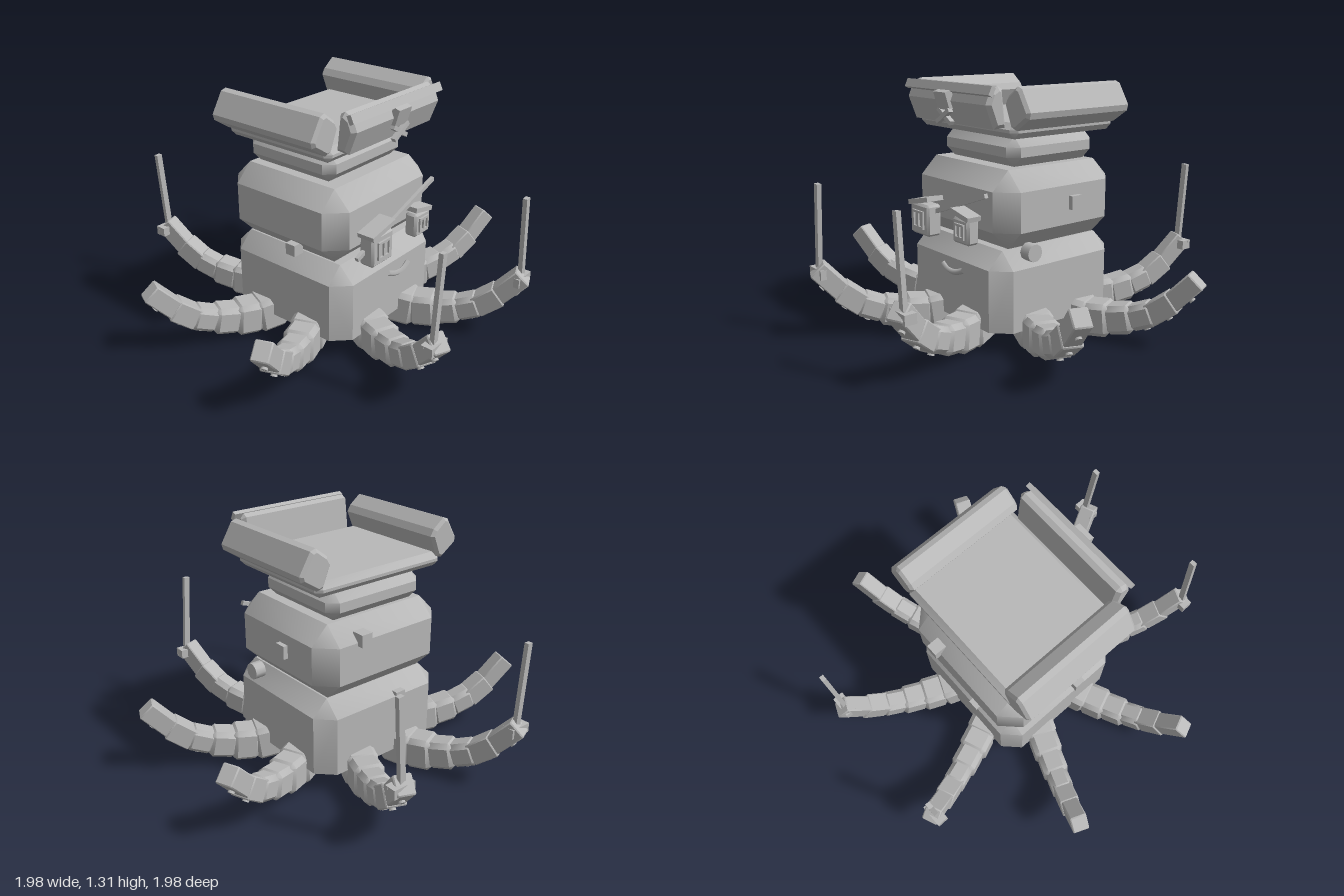
import * as THREE from 'three';
import { toCreasedNormals } from 'three/addons/utils/BufferGeometryUtils.js';
import { ConvexGeometry } from 'three/addons/geometries/ConvexGeometry.js';

const stone = new THREE.MeshStandardMaterial({ color: 0xb8b8b8 });
stone.name = 'pale grey';

// Box with chamfered edges; flat panels stay crisp, corners blend softly
function chamferBox(w, h, d, c, squareBottom = false) {
  const pts = [];
  const x = w / 2, y = h / 2, z = d / 2;
  for (const sx of [-1, 1]) for (const sy of [-1, 1]) for (const sz of [-1, 1]) {
    const cy = squareBottom && sy < 0 ? 0 : c;
    pts.push(new THREE.Vector3(sx * x, sy * (y - cy), sz * (z - c)));
    pts.push(new THREE.Vector3(sx * (x - c), sy * (y - cy), sz * z));
    if (cy) pts.push(new THREE.Vector3(sx * (x - c), sy * y, sz * (z - c)));
  }
  return toCreasedNormals(new ConvexGeometry(pts), 0.7);
}

// Bevelled prism along z from an outline of [x, y] points
function prism(outline, length, bevel) {
  const shape = new THREE.Shape(outline.map(([x, y]) => new THREE.Vector2(x, y)));
  const geo = new THREE.ExtrudeGeometry(shape, {
    depth: length - 2 * bevel, bevelEnabled: true, bevelThickness: bevel,
    bevelSize: bevel, bevelOffset: -bevel, bevelSegments: 1,
  });
  return geo.translate(0, 0, bevel - length / 2);
}

function add(parent, name, geo, x = 0, y = 0, z = 0, rx = 0, ry = 0, rz = 0) {
  const mesh = new THREE.Mesh(geo, stone);
  mesh.name = name;
  mesh.position.set(x, y, z);
  mesh.rotation.set(rx, ry, rz);
  parent.add(mesh);
  return mesh;
}

const box = (w, h, d) => new THREE.BoxGeometry(w, h, d);

// Curled leg running outward along local +z
function makeLeg() {
  const leg = new THREE.Group();
  const joints = [[0.33, 0.12], [0.46, 0.105], [0.58, 0.115], [0.7, 0.14], [0.81, 0.185], [0.9, 0.255], [1.02, 0.385]];
  const heights = [0.19, 0.175, 0.15, 0.13, 0.115, 0.1];
  const widths = [0.17, 0.16, 0.14, 0.12, 0.105, 0.09];
  for (let i = 0; i < 6; i++) {
    const [r0, y0] = joints[i], [r1, y1] = joints[i + 1];
    const length = Math.hypot(r1 - r0, y1 - y0) + (i < 5 ? 0.03 : 0.01);
    const tilt = -Math.atan2(y1 - y0, r1 - r0);
    const geo = chamferBox(widths[i], heights[i], length, i < 4 ? 0.025 : 0.006);
    const segment = add(leg, 'legSegment', geo, 0, (y0 + y1) / 2, (r0 + r1) / 2, tilt);
    if (i > 2) add(segment, 'sucker', new THREE.CylinderGeometry(0.015, 0.018, 0.016, 8), 0, -heights[i] / 2 - 0.004, 0);
  }
  return leg;
}

// Small hanging cabin with a sloped roof and framed window
function makeLantern(w, h, d, tilt) {
  const lantern = new THREE.Group();
  add(lantern, 'lanternBody', chamferBox(w, h, d, 0.012));
  add(lantern, 'lanternRoof', box(w * 1.1, 0.025, d * 1.15), 0, h / 2 + 0.015, 0, 0, 0, tilt);
  for (const s of [-1, 0, 1]) add(lantern, 'windowBar', box(0.013, h * 0.5, 0.02), s * w * 0.25, 0, d / 2);
  for (const s of [-1, 1]) add(lantern, 'windowRail', box(w * 0.58, 0.012, 0.02), 0, s * h * 0.25, d / 2);
  return lantern;
}

export function createModel() {
  const model = new THREE.Group();
  model.name = 'walkingTower';

  // Stacked body
  add(model, 'lowerBody', chamferBox(0.8, 0.4, 0.79, 0.085, true), 0, 0.32, 0);
  add(model, 'middleBody', chamferBox(0.8, 0.39, 0.76, 0.095), 0, 0.715, -0.02);
  add(model, 'neck', chamferBox(0.6, 0.15, 0.565, 0.05), 0, 0.985, -0.05);

  // Tray head with side bolsters
  const head = new THREE.Group();
  head.name = 'trayHead';
  model.add(head);
  add(head, 'traySlab', chamferBox(0.8, 0.075, 0.67, 0.03), 0, 1.105, -0.025);
  const bolster = [[0.4, 1.11], [0.49, 1.17], [0.498, 1.2], [0.435, 1.305], [0.405, 1.315], [0.34, 1.265], [0.32, 1.23], [0.365, 1.12]];
  for (const s of [-1, 1]) {
    const outline = bolster.map(([x, y]) => [s * x, y]);
    if (s < 0) outline.reverse();
    add(head, 'sideBolster', prism(outline, 0.67, 0.015), 0, 0, -0.03);
  }

  // Front board leaning outward, with its lip and crossed ornament
  const board = [[-0.3, 1.12], [-0.37, 1.115], [-0.415, 1.23], [-0.39, 1.29], [-0.345, 1.315], [-0.32, 1.3]].reverse();
  add(head, 'frontBoard', prism(board, 0.69, 0.02), 0, 0, 0, 0, Math.PI / 2);
  add(head, 'frontLip', box(0.71, 0.045, 0.025), 0, 1.293, 0.398, -0.45);
  add(head, 'ornamentBlock', box(0.1, 0.09, 0.04), 0, 1.235, 0.415, 0.3);
  for (const s of [-1, 1]) add(head, 'ornamentBar', box(0.125, 0.022, 0.025), 0, 1.155, 0.415 + s * 0.004, 0, 0, s * 0.55);

  // Eight legs; those at front and back grip upright poles
  for (let k = 0; k < 8; k++) {
    const angle = (k + 0.5) * Math.PI / 4;
    const leg = makeLeg();
    leg.name = 'leg';
    leg.rotation.y = angle;
    model.add(leg);
    if (Math.abs(Math.cos(angle)) < 0.8) continue;
    const sx = Math.sign(Math.sin(angle)), sz = Math.sign(Math.cos(angle));
    const lean = sz > 0 ? -0.035 : 0.03;
    add(model, 'pole', box(0.032, 0.47, 0.024), sx * (sz > 0 ? 0.39 : 0.405), 0.59, sz * 0.925, 0, 0, -sx * lean / 0.45);
    for (const s of [-1, 1]) add(model, 'gripBar', box(0.125, 0.05, 0.018), sx * 0.395, 0.362, sz * 0.922 + s * 0.022);
    for (const s of [-1, 1]) add(model, 'gripEnd', box(0.03, 0.05, 0.06), sx * 0.395 + s * 0.047, 0.362, sz * 0.922);
  }

  // Slanted beam with two hanging lanterns
  add(model, 'beam', box(0.67, 0.022, 0.02), 0.005, 0.695, 0.41, 0, 0, 0.342);
  const large = makeLantern(0.165, 0.165, 0.085, 0.22);
  large.name = 'largeLantern';
  large.position.set(-0.175, 0.61, 0.425);
  const small = makeLantern(0.13, 0.13, 0.07, -0.2);
  small.name = 'smallLantern';
  small.position.set(0.175, 0.615, 0.425);
  model.add(large, small);

  // Curved handle on the lower front
  const curve = new THREE.QuadraticBezierCurve3(
    new THREE.Vector3(-0.045, 0.395, 0.41), new THREE.Vector3(0.04, 0.35, 0.425), new THREE.Vector3(0.125, 0.395, 0.41));
  add(model, 'handle', new THREE.TubeGeometry(curve, 8, 0.015, 4));

  // Small fittings on sides and back
  add(model, 'sideHatch', box(0.04, 0.07, 0.065), 0.405, 0.725, -0.08);
  add(model, 'sideKnob', new THREE.CylinderGeometry(0.045, 0.045, 0.06, 10), 0.39, 0.51, 0.19, 0, 0, Math.PI / 2);
  add(model, 'sideBlock', box(0.06, 0.06, 0.06), -0.395, 0.57, 0.08);
  add(model, 'backBlock', box(0.065, 0.065, 0.07), 0.16, 0.83, -0.395);
  add(model, 'backLedge', box(0.06, 0.02, 0.04), -0.1, 0.45, -0.385);
  return model;
}
